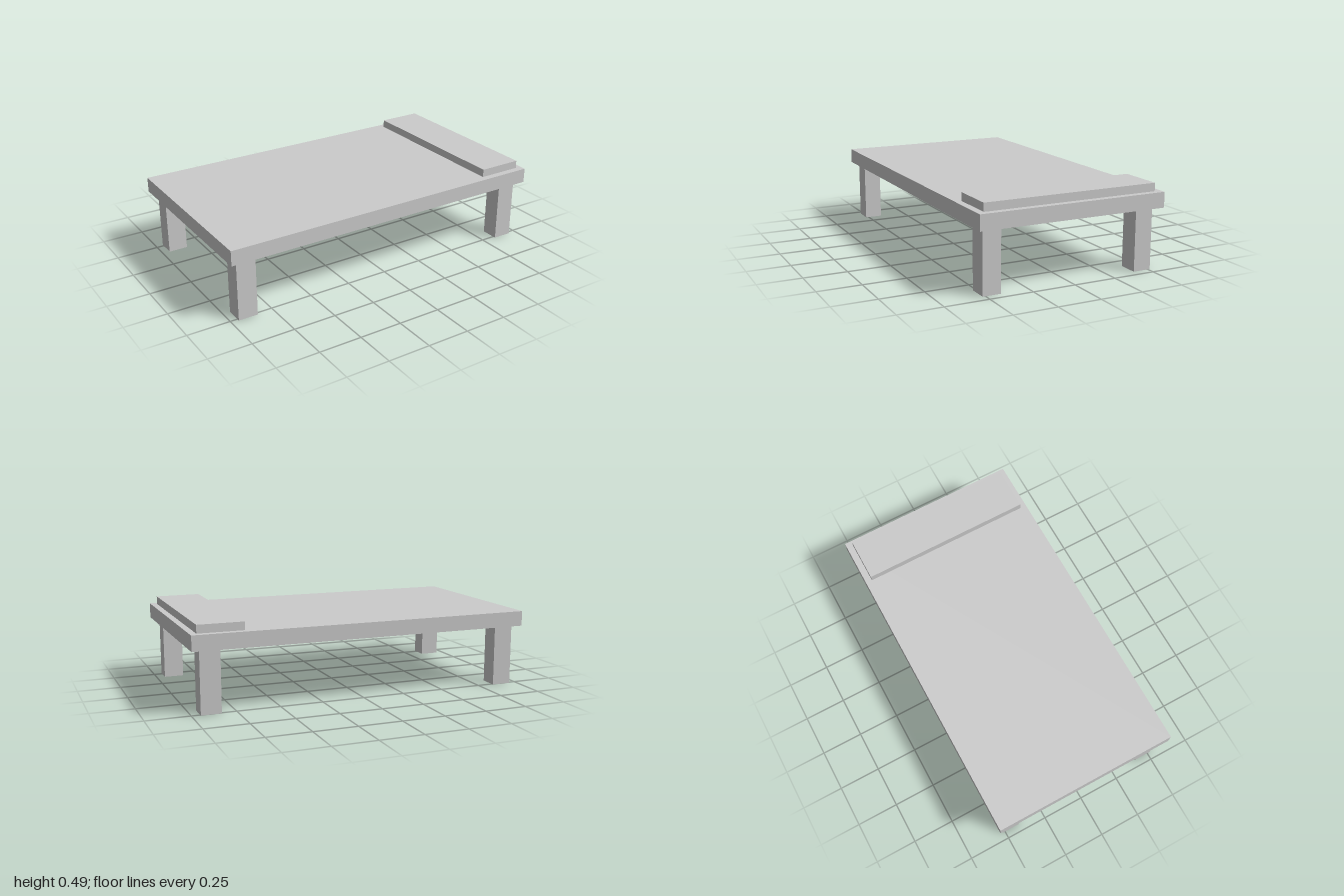
import * as THREE from 'three';

export function createModel() {
  const model = new THREE.Group();
  const material = new THREE.MeshStandardMaterial({ color: 0xcccccc, flatShading: true });

  // Box given by its extents along each axis
  function addBox(name, [x0, x1], [y0, y1], [z0, z1]) {
    const mesh = new THREE.Mesh(new THREE.BoxGeometry(x1 - x0, y1 - y0, z1 - z0), material);
    mesh.name = name;
    mesh.position.set((x0 + x1) / 2, (y0 + y1) / 2, (z0 + z1) / 2);
    model.add(mesh);
  }

  // Bed platform and the flat pillow at its left end
  addBox('platform', [-1, 1], [0.357, 0.445], [-0.555, 0.555]);
  addBox('pillow', [0.7, 0.963], [0.445, 0.492], [-0.516, 0.516]);

  // Four square legs, one near each corner
  const legX = { right: [-0.957, -0.843], left: [0.836, 0.951] };
  const legZ = { front: [0.412, 0.517], back: [-0.513, -0.407] };
  for (const [side, x] of Object.entries(legX)) {
    for (const [end, z] of Object.entries(legZ)) {
      addBox(`${end} ${side} leg`, x, [0, 0.357], z);
    }
  }

  return model;
}
